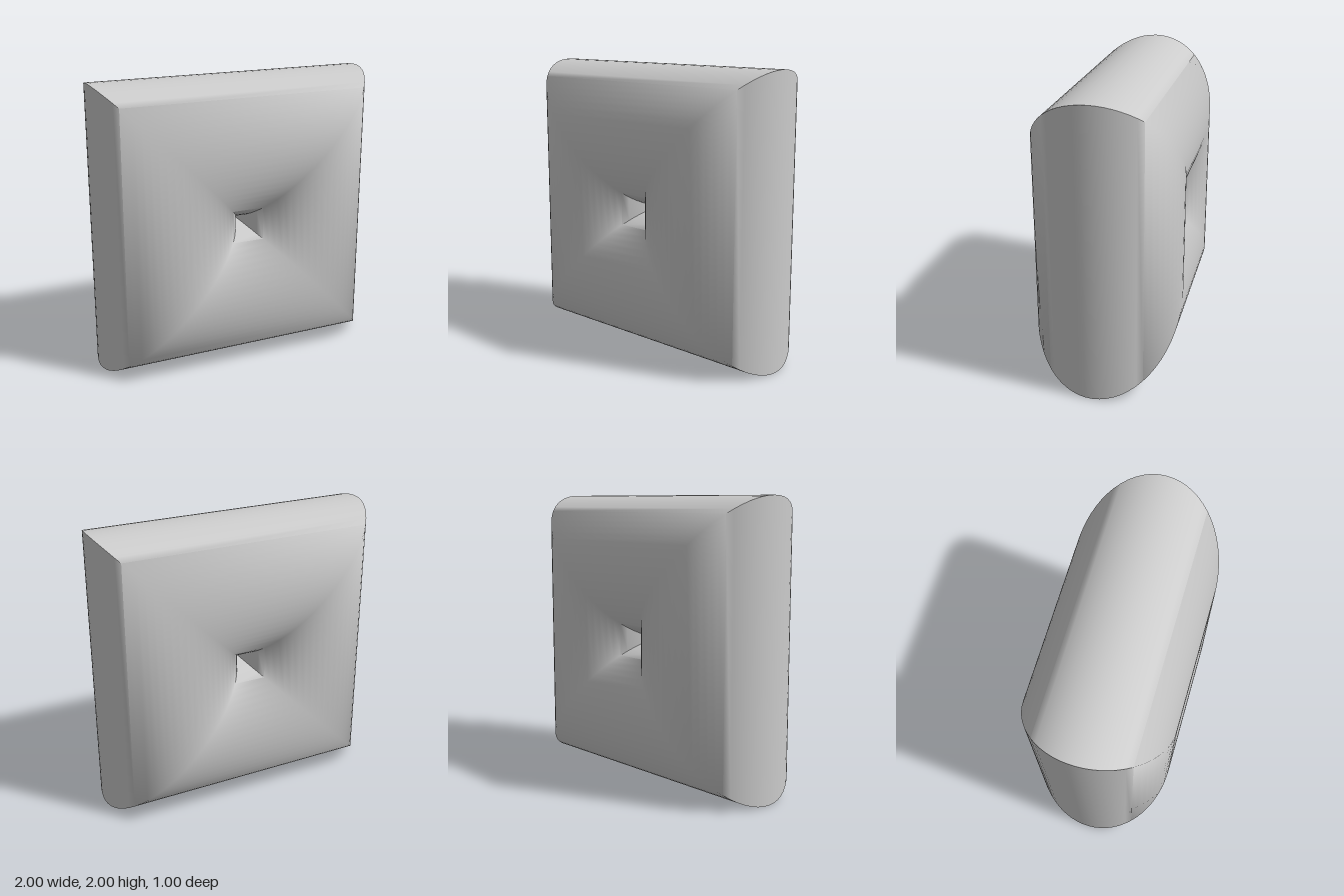
import * as THREE from 'three';
import { toCreasedNormals } from 'three/addons/utils/BufferGeometryUtils.js';

export function createModel() {
  const group = new THREE.Group();

  // Four mitred round bars: a four-sided torus whose inner faces meet at the centre
  const ring = new THREE.TorusGeometry(0.5, 0.5, 64, 4);
  ring.rotateZ(Math.PI / 4);
  ring.scale(Math.SQRT2, Math.SQRT2, 1);

  // Smooth around each bar, sharp at the outer and inner mitres
  const squareRing = new THREE.Mesh(
    toCreasedNormals(ring, 1.2),
    new THREE.MeshStandardMaterial({ color: 0xcccccc })
  );
  squareRing.name = 'squareRing';
  squareRing.position.y = 1;
  group.add(squareRing);

  return group;
}
